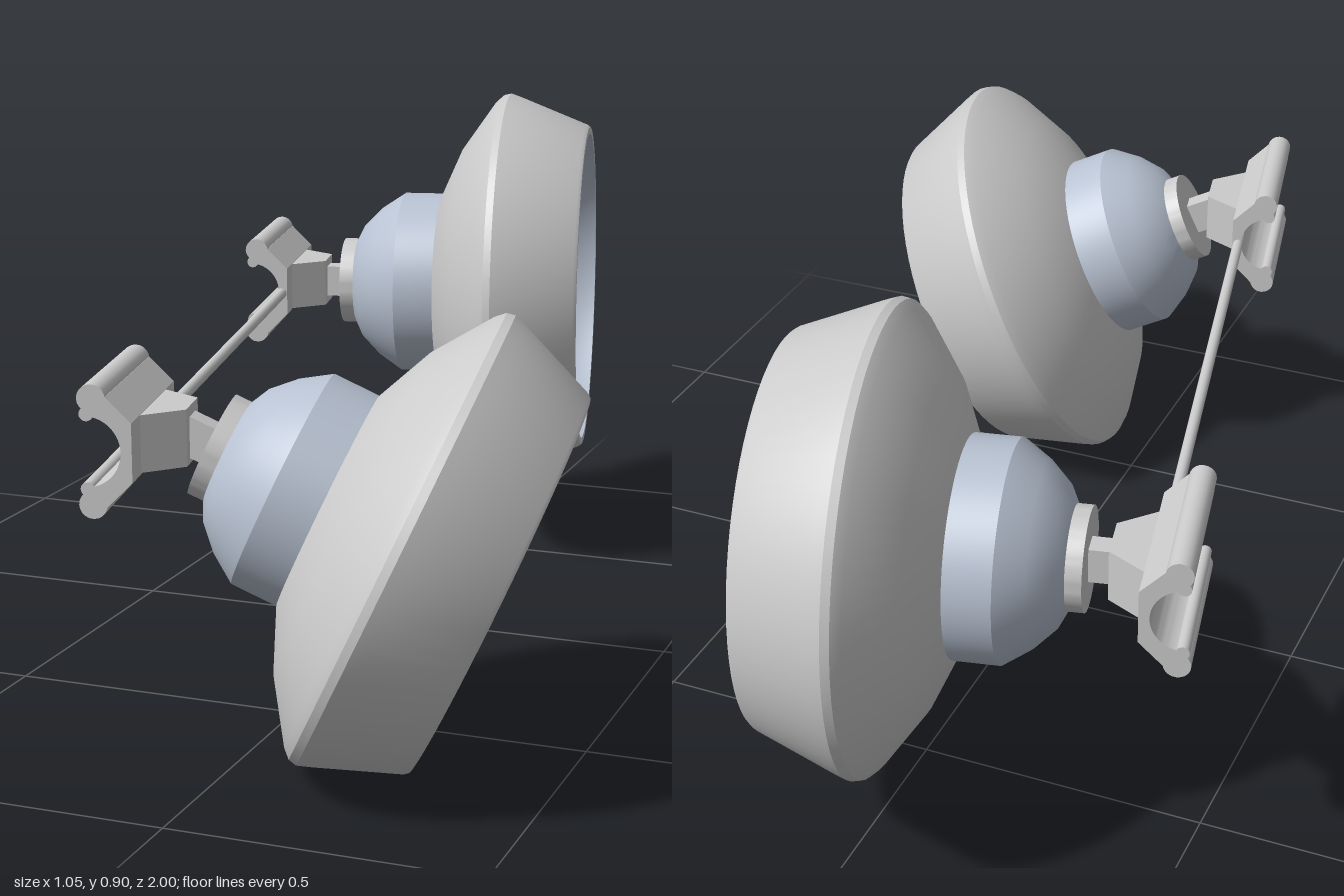
import * as THREE from 'three';
import { toCreasedNormals } from 'three/addons/utils/BufferGeometryUtils.js';

const grey = new THREE.MeshStandardMaterial({ color: 0xcccccc });
const blue = new THREE.MeshStandardMaterial({ color: 0xb8c2d2 });

function add(parent, name, geometry, material = grey) {
  const mesh = new THREE.Mesh(geometry, material);
  mesh.name = name;
  parent.add(mesh);
  return mesh;
}

// Turned part along +x from [radius, x] pairs
function turned(points, crease = 0.4) {
  const g = new THREE.LatheGeometry(points.map(([r, x]) => new THREE.Vector2(r, x)), 64);
  g.rotateZ(-Math.PI / 2);
  return toCreasedNormals(g, crease);
}

// Shape extruded along z, centred on z = 0
function extruded(shape, depth) {
  const g = new THREE.ExtrudeGeometry(shape, { depth, bevelEnabled: false, curveSegments: 16 });
  g.translate(0, 0, -depth / 2);
  return toCreasedNormals(g, 0.4);
}

// Lamp head, tilting about a pivot behind its collar
const PIVOT = -0.37;
function lampHead(name, pitch) {
  const pivot = new THREE.Group();
  pivot.name = name;
  pivot.position.x = PIVOT;
  pivot.rotation.z = -pitch;
  const head = new THREE.Group();
  head.position.x = -PIVOT;
  pivot.add(head);

  add(head, 'shade', turned([
    [0.15, -0.135], [0.18, -0.128], [0.275, -0.086], [0.367, -0.022], [0.38, -0.008],
    [0.383, 0.006], [0.376, 0.026], [0.324, 0.158], [0.319, 0.164], [0.306, 0.164]], 0.35));
  add(head, 'reflector', turned([
    [0.306, 0.164], [0.306, 0.125], [0.285, 0.075], [0.25, 0.028], [0.2, -0.009],
    [0.15, -0.03], [0.1, -0.041]], 0.5), blue);
  add(head, 'bulbSocket', turned([[0.1, -0.041], [0.1, -0.13], [0, -0.13]]), blue);
  add(head, 'housing', turned([
    [0, -0.305], [0.085, -0.3], [0.115, -0.285], [0.15, -0.25], [0.18, -0.205],
    [0.18, -0.113], [0.14, -0.113]]), blue);
  add(head, 'collar', turned([[0, -0.327], [0.085, -0.327], [0.085, -0.283], [0, -0.283]]));
  add(head, 'pivotLug', new THREE.BoxGeometry(0.055, 0.06, 0.04)).position.x = -0.347;
  return pivot;
}

// C-shaped clip, open towards -x, with a tapered mount
function clip() {
  const group = new THREE.Group();
  group.name = 'clip';
  const length = 0.28;
  const jaw = new THREE.Shape();
  jaw.moveTo(-0.48, 0.09);
  jaw.lineTo(-0.462, 0.085);
  jaw.lineTo(-0.423, 0.046);
  jaw.lineTo(-0.423, -0.046);
  jaw.lineTo(-0.462, -0.085);
  jaw.lineTo(-0.48, -0.09);
  jaw.absarc(-0.495, 0, 0.055, -1.4, 1.4, false);
  add(group, 'clipJaw', extruded(jaw, length));

  // rounded edges along the tips of the jaw
  for (const side of [1, -1]) {
    for (const [name, radius, x, y] of [
      ['outerBead', 0.022, -0.484, 0.082], ['innerBead', 0.011, -0.492, 0.058]]) {
      const bead = add(group, name, new THREE.CylinderGeometry(radius, radius, length, 20));
      bead.rotation.x = Math.PI / 2;
      bead.position.set(x, side * y, 0);
    }
  }

  const mount = new THREE.Shape([
    [-0.43, -0.09], [-0.362, -0.04], [-0.362, 0.04], [-0.43, 0.09]
  ].map(([x, z]) => new THREE.Vector2(x, z)));
  add(group, 'clipMount', extruded(mount, 0.09)).rotation.x = Math.PI / 2;
  return group;
}

export function createModel() {
  const model = new THREE.Group();
  model.name = 'twinLamps';
  const frame = new THREE.Group();
  frame.name = 'frame';
  frame.position.set(0, 0.519, -0.625);
  frame.rotation.y = 0.214;
  model.add(frame);

  // Two lamps: the rear one level, the front one tipped down
  const spacing = 1.268;
  [['rearLamp', 0, 0], ['frontLamp', spacing, 0.435]].forEach(([name, z, pitch]) => {
    const lamp = new THREE.Group();
    lamp.name = name;
    lamp.position.z = z;
    lamp.add(clip(), lampHead(name + 'Head', pitch));
    frame.add(lamp);
  });

  // Rod joining the clips
  const rod = add(frame, 'connectingRod', new THREE.CylinderGeometry(0.01, 0.01, spacing - 0.2, 16));
  rod.rotation.x = Math.PI / 2;
  rod.position.set(-0.434, -0.004, spacing / 2);
  return model;
}
